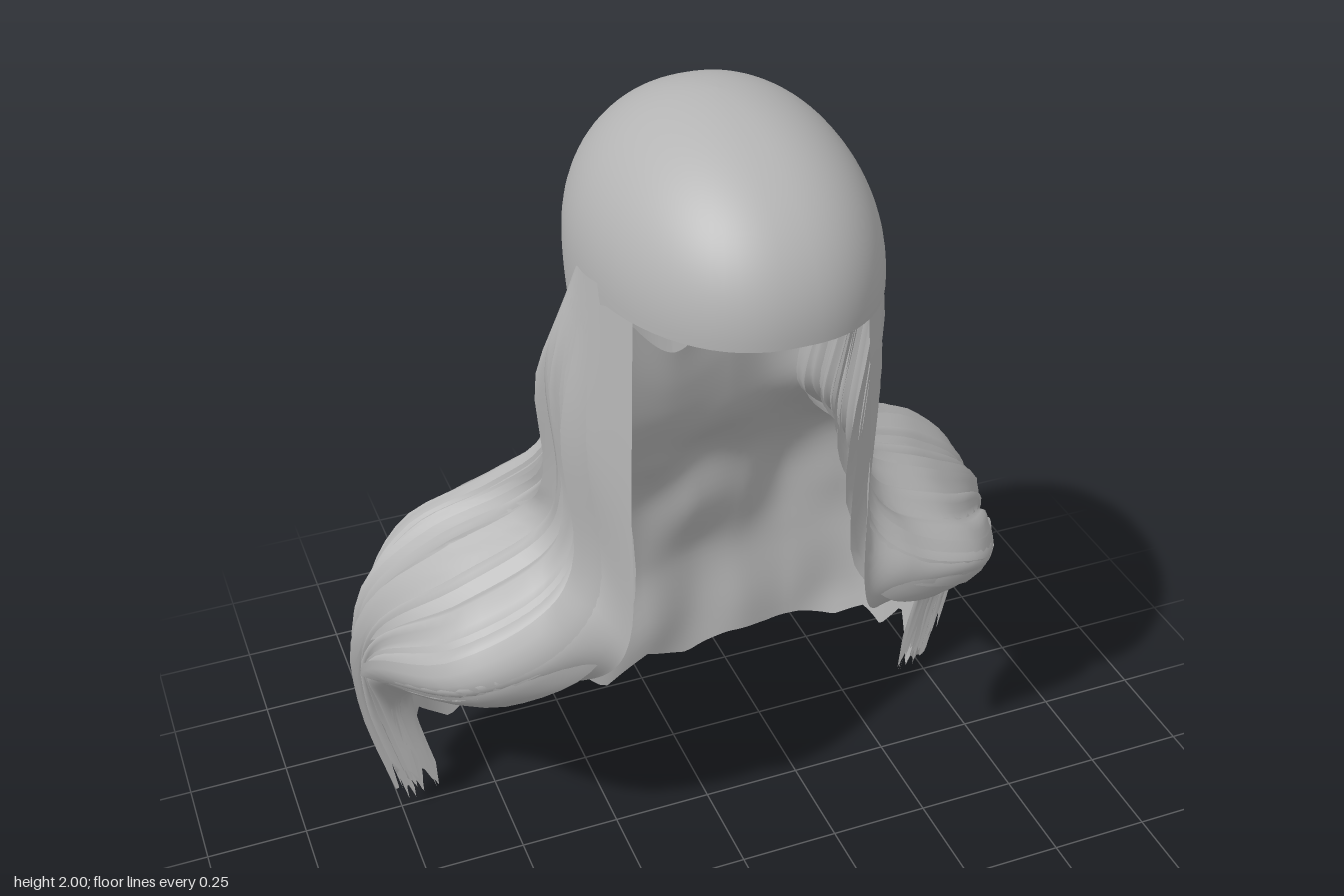
import * as THREE from 'three';

// Guide locks, each from scalp to tip: centre back round to the side
const backLocks = [
  [[0, 1.23, -.205], [0, 1.1, -.23], [0, .95, -.28], [0, .82, -.36], [0, .7, -.42], [0, .5, -.45], [0, .3, -.46], [0, .02, -.45]],
  [[.135, 1.36, -.2], [.14, 1.18, -.22], [.16, 1, -.27], [.22, .85, -.37], [.32, .7, -.47], [.36, .5, -.5], [.36, .3, -.49], [.36, .06, -.47]],
  [[.19, 1.43, -.17], [.23, 1.25, -.2], [.27, 1.05, -.25], [.38, .9, -.35], [.55, .75, -.46], [.67, .55, -.44], [.66, .3, -.42], [.63, .04, -.42]],
  [[.27, 1.53, -.08], [.31, 1.3, -.12], [.32, 1.1, -.17], [.45, .95, -.25], [.65, .82, -.32], [.76, .65, -.3], [.74, .35, -.27], [.7, 0, -.26]],
];
// Locks falling in front of the ears, then sweeping back over the shoulder
const sideLocks = [
  [[.3, 1.62, .01], [.36, 1.35, -.02], [.35, 1.1, -.07], [.42, .98, -.14], [.62, .88, -.19], [.78, .72, -.22], [.79, .4, -.24], [.71, .02, -.24]],
  [[.32, 1.67, .08], [.38, 1.45, .05], [.36, 1.08, .03], [.4, .94, -.01], [.6, .83, -.03], [.78, .69, -.12], [.8, .4, -.23], [.72, .03, -.235]],
  [[.32, 1.68, .15], [.35, 1.3, .16], [.34, .9, .18], [.45, .79, .21], [.66, .7, .17], [.81, .57, -.1], [.77, .36, -.22], [.7, .04, -.235]],
  [[.26, 1.66, .25], [.28, 1.2, .27], [.29, .8, .26], [.33, .69, .22], [.45, .6, .1], [.62, .53, -.03], [.73, .4, -.2], [.67, .05, -.235]],
];
const guides = [...backLocks, ...sideLocks].map(
  (l) => new THREE.CatmullRomCurve3(l.map((p) => new THREE.Vector3(...p))));

// Seeded numbers from 0 to 1, and smooth bumps made from them
const hash = (n) => { const s = Math.sin(n * 127.1 + 11.7) * 43758.545; return s - Math.floor(s); };
const lerp = THREE.MathUtils.lerp, smooth = THREE.MathUtils.smoothstep;
function bumps(x, y) {
  const i = Math.floor(x), j = Math.floor(y), s = smooth(x - i, 0, 1), t = smooth(y - j, 0, 1);
  const h = (a, b) => hash(a + 57 * b);
  return lerp(lerp(h(i, j), h(i + 1, j), s), lerp(h(i, j + 1), h(i + 1, j + 1), s), t) - .5;
}

// Grid of points p(i/cols, j/rows) as one smooth surface
function sheet(cols, rows, p) {
  const pos = [], idx = [];
  for (let j = 0; j <= rows; j++) for (let i = 0; i <= cols; i++) pos.push(...p(i / cols, j / rows).toArray());
  for (let j = 0; j < rows; j++) for (let i = 0; i < cols; i++) {
    const a = j * (cols + 1) + i, b = a + cols + 1;
    idx.push(a, b, a + 1, a + 1, b, b + 1);
  }
  const g = new THREE.BufferGeometry();
  g.setAttribute('position', new THREE.Float32BufferAttribute(pos, 3));
  g.setIndex(idx);
  g.computeVertexNormals();
  return g;
}

// Point on the hair fall: u from -1 (right front) over 0 (back) to 1, v from scalp to tip
function fall(u, v, lift = 0) {
  const left = guides.map((c) => c.getPoint(v));
  const right = left.slice(1).reverse().map((p) => new THREE.Vector3(-p.x, p.y, p.z));
  const p = new THREE.CatmullRomCurve3([...right, ...left]).getPoint((u + 1) / 2);
  const shoulder = smooth(v, .3, .45) * (1 - smooth(v, .65, .8));
  p.x += Math.sign(u) * lift * (1 - .5 * shoulder);
  p.y += lift * .8 * shoulder;
  return p;
}

// Ragged tips: long and short points in turn
function ragged(u, n, depth) {
  const t = (u + 1) * n, k = Math.floor(t);
  const tip = (m) => (m % 2 ? .4 + .6 * hash(m) : .5 * hash(m));
  return 1 - depth * lerp(tip(k), tip(k + 1), t - k);
}

// Cap section at height y and angle a from the front
function capPoint(y, a) {
  const t = Math.max(0, (y - 1.65) / .35), q = Math.max(0, (1.65 - y) / .45);
  const dome = Math.sqrt(Math.max(0, 1 - t ** 2.2));
  const w = (.32 - .07 * q * q) * dome, c = Math.cos(a), s = Math.sin(a);
  const depth = c > 0 ? .465 - .06 * q : .37 - .1 * q ** 1.3;
  return new THREE.Vector3(w * Math.sign(s) * Math.abs(s) ** .88, y, .05 + depth * dome * c);
}

// Lower rim of the cap: level in front, pointed at the nape
const rim = [[0, 1.65], [70, 1.64], [90, 1.58], [123, 1.45], [150, 1.32], [180, 1.18]];
function rimHeight(a) {
  const d = Math.abs(a) * 180 / Math.PI;
  const k = Math.max(1, rim.findIndex((r) => d <= r[0] + 1e-6));
  const [d0, y0] = rim[k - 1], [d1, y1] = rim[k];
  return lerp(y0, y1, (d - d0) / (d1 - d0));
}

export function createModel() {
  const model = new THREE.Group();
  const hair = new THREE.MeshStandardMaterial({ color: 0xb4b4b4, side: THREE.DoubleSide });
  hair.name = 'hairGrey';
  const add = (geo, name, parent = model) => {
    const m = new THREE.Mesh(geo, hair);
    m.name = name;
    parent.add(m);
  };

  // Smooth cap over the skull
  add(sheet(72, 32, (i, j) => {
    const a = (i * 2 - 1) * Math.PI, e = rimHeight(a);
    return capPoint(2 - (2 - e) * j ** 1.8, a);
  }), 'crownCap');

  // Main fall: gently lumpy at the back, pleated at the sides
  add(sheet(224, 48, (i, j) => {
    const u = i * 2 - 1, side = smooth(Math.abs(u), .4, .55) * (1 - smooth(Math.abs(u), .75, .85));
    const v = j * ragged(u, 21, .08);
    const saw = Math.abs(((Math.abs(u) * 20) % 1) - .5) - .25;
    const p = fall(u, v, side * saw * .06 * smooth(v, .08, .2));
    const back = (1 - smooth(Math.abs(u), .35, .48)) * smooth(v, .2, .45);
    p.z += back * .05 * bumps(p.x * 7 + 20, p.y * 5);
    return p;
  }), 'hairFall');

  // Loose overlapping strands on both sides, some ending short at the shoulder
  for (const side of [1, -1]) {
    const strands = new THREE.Group();
    strands.name = side > 0 ? 'leftStrands' : 'rightStrands';
    model.add(strands);
    for (let n = 0; n < 14; n++) {
      const r = (k) => hash(n * 7 + k + (side > 0 ? 0 : 300));
      const start = .41 + n * .034, width = .04 + .05 * r(1);
      const inner = -.06 * r(2), outer = inner + .02 + .03 * r(3);
      const reach = n > 4 && n % 3 === 0 ? .74 : 1;
      add(sheet(4, 32, (i, j) => {
        const u = Math.min(1, start + width * i);
        const v = j * reach * (.93 + .07 * r(4 + Math.round(i * 4) % 3));
        return fall(side * u, v, lerp(outer, inner, i) * smooth(v, .05, .2));
      }), 'strand', strands);
    }
  }
  return model;
}
